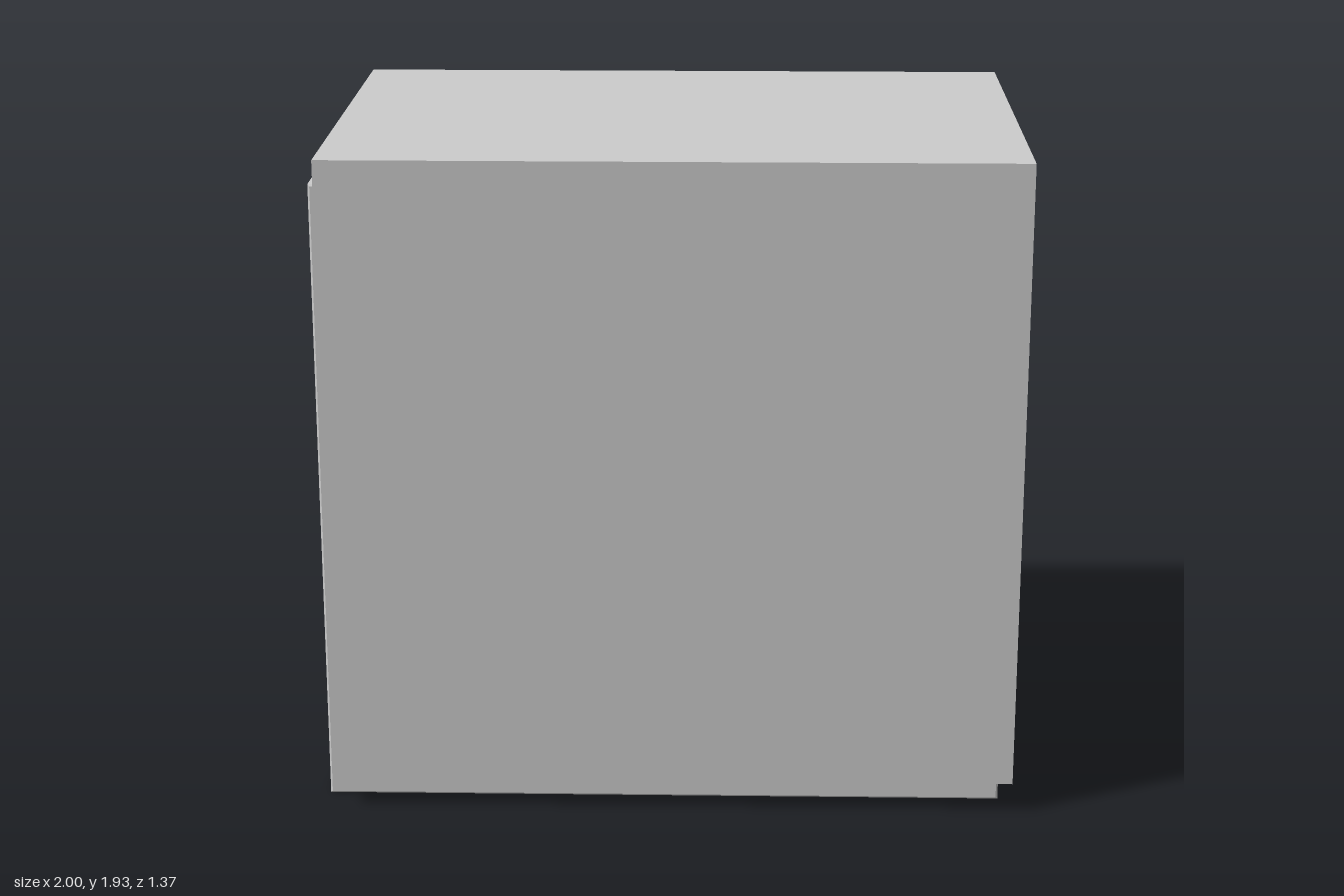
import * as THREE from 'three';
import { RoundedBoxGeometry } from 'three/addons/geometries/RoundedBoxGeometry.js';

const grey = new THREE.MeshStandardMaterial({ color: 0xcccccc, flatShading: true });

function add(group, name, geometry, x = 0, y = 0, z = 0) {
  const mesh = new THREE.Mesh(geometry, grey);
  mesh.name = name;
  mesh.position.set(x, y, z);
  group.add(mesh);
}

// Box given by its lower and upper corners; radius softens the edges
function block(group, name, [x0, y0, z0], [x1, y1, z1], radius = 0) {
  const size = [x1 - x0, y1 - y0, z1 - z0];
  const geometry = radius ? new RoundedBoxGeometry(...size, 2, radius) : new THREE.BoxGeometry(...size);
  add(group, name, geometry, (x0 + x1) / 2, (y0 + y1) / 2, (z0 + z1) / 2);
}

function rectangle(Type, x0, y0, x1, y1) {
  return new Type([[x0, y0], [x1, y0], [x1, y1], [x0, y1]].map(p => new THREE.Vector2(...p)));
}

// Bevelled frame in the xy plane, from z0 to z1, around a rectangular opening
function frame(group, name, x0, y0, x1, y1, rim, z0, z1, bevel) {
  const shape = rectangle(THREE.Shape, x0 + bevel, y0 + bevel, x1 - bevel, y1 - bevel);
  const inner = rim + bevel;
  shape.holes.push(rectangle(THREE.Path, x0 + inner, y0 + inner, x1 - inner, y1 - inner));
  add(group, name, new THREE.ExtrudeGeometry(shape, {
    depth: z1 - z0 - 2 * bevel, bevelEnabled: true, bevelSize: bevel,
    bevelThickness: bevel, bevelSegments: 1,
  }), 0, 0, z0 + bevel);
}

export function createModel() {
  const model = new THREE.Group();

  // Inner cabinet: carcass, back, front surround and a pair of inset doors
  const cabinet = new THREE.Group();
  cabinet.name = 'cabinet';
  frame(cabinet, 'carcass', -1, 0, 0.967, 1.837, 0.05, -0.684, 0.595, 0.006);
  block(cabinet, 'backPanel', [-0.96, 0.04, -0.684], [0.93, 1.8, -0.65]);
  frame(cabinet, 'doorSurround', -0.95, 0.055, 0.917, 1.782, 0.015, 0.55, 0.59, 0.003);
  const middle = -0.017;
  for (const side of [-1, 1]) {
    const edges = [middle + side * 0.004, middle + side * 0.912].sort((a, b) => a - b);
    block(cabinet, side < 0 ? 'rightDoor' : 'leftDoor',
      [edges[0], 0.077, 0.54], [edges[1], 1.76, 0.588], 0.004);
  }
  model.add(cabinet);

  // Plain outer cover, set forward, up and to the left of the cabinet
  block(model, 'outerCover', [-0.972, 0.09, -0.681], [1, 1.925, 0.684]);
  return model;
}
